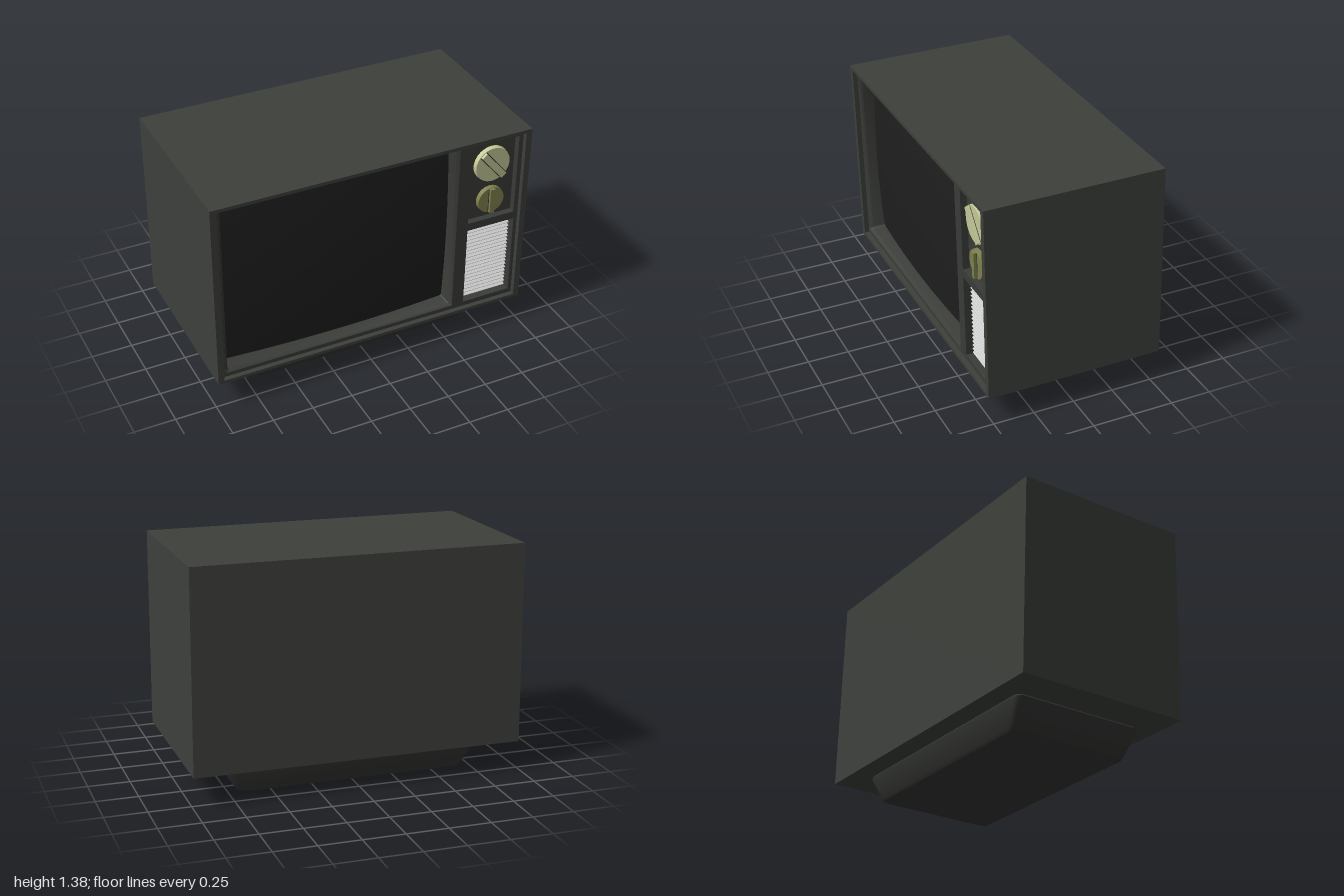
import * as THREE from 'three';
import { toCreasedNormals } from 'three/addons/utils/BufferGeometryUtils.js';

const mat = (color, side = THREE.FrontSide) => new THREE.MeshStandardMaterial({ color, side });
const MID = 0.78; // height of the cabinet's middle

// The whole set leans very slightly forwards and sideways
const lean = new THREE.Matrix4().set(
  1, -0.008, 0, 0.008 * MID,
  0, 1, -0.006, 0.002,
  0, 0.02, 1, -0.02 * MID,
  0, 0, 0, 1);

// Rectangle path from its edges
function rect(PathType, x0, x1, y0, y1) {
  return new PathType([[x0, y0], [x1, y0], [x1, y1], [x0, y1]].map(p => new THREE.Vector2(...p)));
}

// Plate with rectangular holes, from z0 to z1
function plate(outer, holes, z0, z1) {
  const shape = rect(THREE.Shape, ...outer);
  holes.forEach(h => shape.holes.push(rect(THREE.Path, ...h)));
  return new THREE.ExtrudeGeometry(shape, { depth: z1 - z0, bevelEnabled: false }).translate(0, 0, z0);
}

// Skin over rounded rectangles: each ring is [half width, half height, corner radius, z]
function loft(rings, steps = 5) {
  const pos = [], index = [], n = 4 * (steps + 1);
  rings.forEach(([w, h, r, z], k) => {
    for (let c = 0; c < 4; c++) {
      const sx = c === 0 || c === 3 ? 1 : -1, sy = c < 2 ? 1 : -1;
      for (let s = 0; s <= steps; s++) {
        const a = (c + s / steps) * Math.PI / 2;
        pos.push(sx * (w - r) + r * Math.cos(a), sy * (h - r) + r * Math.sin(a), z);
      }
    }
    if (k === 0) return;
    for (let i = 0; i < n; i++) {
      const j = (i + 1) % n, a = (k - 1) * n, b = k * n;
      index.push(a + i, a + j, b + j, a + i, b + j, b + i);
    }
  });
  const g = new THREE.BufferGeometry();
  g.setAttribute('position', new THREE.Float32BufferAttribute(pos, 3));
  g.setIndex(index);
  return toCreasedNormals(g, 0.7);
}

export function createModel() {
  const group = new THREE.Group();
  const body = mat(0x3d403b), frameMat = mat(0x3a3c38), dark = mat(0x1f1f1f), grey = mat(0xcccccc);
  const add = (name, geometry, material) => {
    const mesh = new THREE.Mesh(geometry.applyMatrix4(lean), material);
    mesh.name = name;
    group.add(mesh);
  };

  // Cabinet: solid rear and an open front rim
  const edge = [-0.992, 0.992, 0.18, 1.378];
  add('cabinet', plate(edge, [], -0.54, 0.38), body);
  add('cabinetRim', plate(edge, [[-0.955, 0.955, 0.2, 1.357]], 0.38, 0.54), body);

  // Front frame with openings for screen, controls and speaker
  const screenHole = [-0.935, 0.54, 0.225, 1.345];
  const knobHole = [0.618, 0.928, 0.805, 1.33];
  const grilleHole = [0.618, 0.932, 0.23, 0.755];
  add('frontFrame', plate([-0.955, 0.955, 0.2, 1.357], [screenHole, knobHole, grilleHole], 0.38, 0.51), frameMat);

  // Sloping surround running back to the screen
  const sx = -0.1975, sy = 0.7875;
  add('screenSurround', loft([
    [0.7375, 0.56, 0.012, 0.512], [0.722, 0.545, 0.012, 0.495], [0.712, 0.535, 0.012, 0.41],
  ], 3).translate(sx, sy, 0), frameMat);

  // Bulging picture tube face
  const screen = new THREE.PlaneGeometry(1.43, 1.08, 24, 18);
  const p = screen.attributes.position;
  for (let i = 0; i < p.count; i++) {
    const u = p.getX(i) / 0.715, v = p.getY(i) / 0.54;
    p.setZ(i, 0.415 + 0.025 * (1 - u * u) + 0.02 * (1 - v * v));
  }
  screen.computeVertexNormals();
  add('screen', screen.translate(sx, sy, 0), dark);

  // Control panel with two dials, each with a raised grip
  add('controlPanel', plate(knobHole, [], 0.38, 0.47), frameMat);
  const dials = [
    ['channelDial', 0.77, 1.17, 0.114, -0.87, 0xc6ca98],
    ['volumeDial', 0.774, 0.924, 0.087, Math.PI / 2, 0x80804f],
  ];
  for (const [name, x, y, r, angle, color] of dials) {
    const paint = mat(color);
    add(name, new THREE.CylinderGeometry(r * 0.97, r, 0.03, 40).rotateX(Math.PI / 2).translate(x, y, 0.483), paint);
    add(name + 'Grip', new THREE.BoxGeometry(r * 1.86, r * 0.36, 0.02)
      .rotateZ(angle).translate(x, y, 0.506), paint);
    for (const side of [-1, 1]) {
      // Dark groove either side of the grip
      add(name + 'Groove', new THREE.BoxGeometry(r * 1.8, 0.006, 0.004).translate(0, side * r * 0.2, 0)
        .rotateZ(angle).translate(x, y, 0.4975), frameMat);
    }
  }

  // Speaker grille: sloping slats over a dark backing
  add('grilleBacking', plate(grilleHole, [], 0.38, 0.445), dark);
  const count = 20, pitch = 0.515 / count;
  for (let i = 0; i < count; i++) {
    const slat = new THREE.Shape([[0, 0], [0.026, 0], [0.026, 0.003], [0, 0.018]].map(q => new THREE.Vector2(...q)));
    add('grilleSlat', new THREE.ExtrudeGeometry(slat, { depth: 0.306, bevelEnabled: false })
      .rotateY(-Math.PI / 2).translate(0.928, 0.238 + i * pitch, 0.445), grey);
  }

  // Tapered foot with softened edges
  add('base', loft([
    [0.002, 0.002, 0.001, 0], [0.665, 0.355, 0.03, 0], [0.688, 0.376, 0.04, 0.006], [0.703, 0.389, 0.045, 0.026],
    [0.772, 0.419, 0.045, 0.158], [0.776, 0.42, 0.045, 0.17], [0.765, 0.41, 0.04, 0.184],
  ]).rotateX(-Math.PI / 2), mat(0x323431));

  return group;
}
